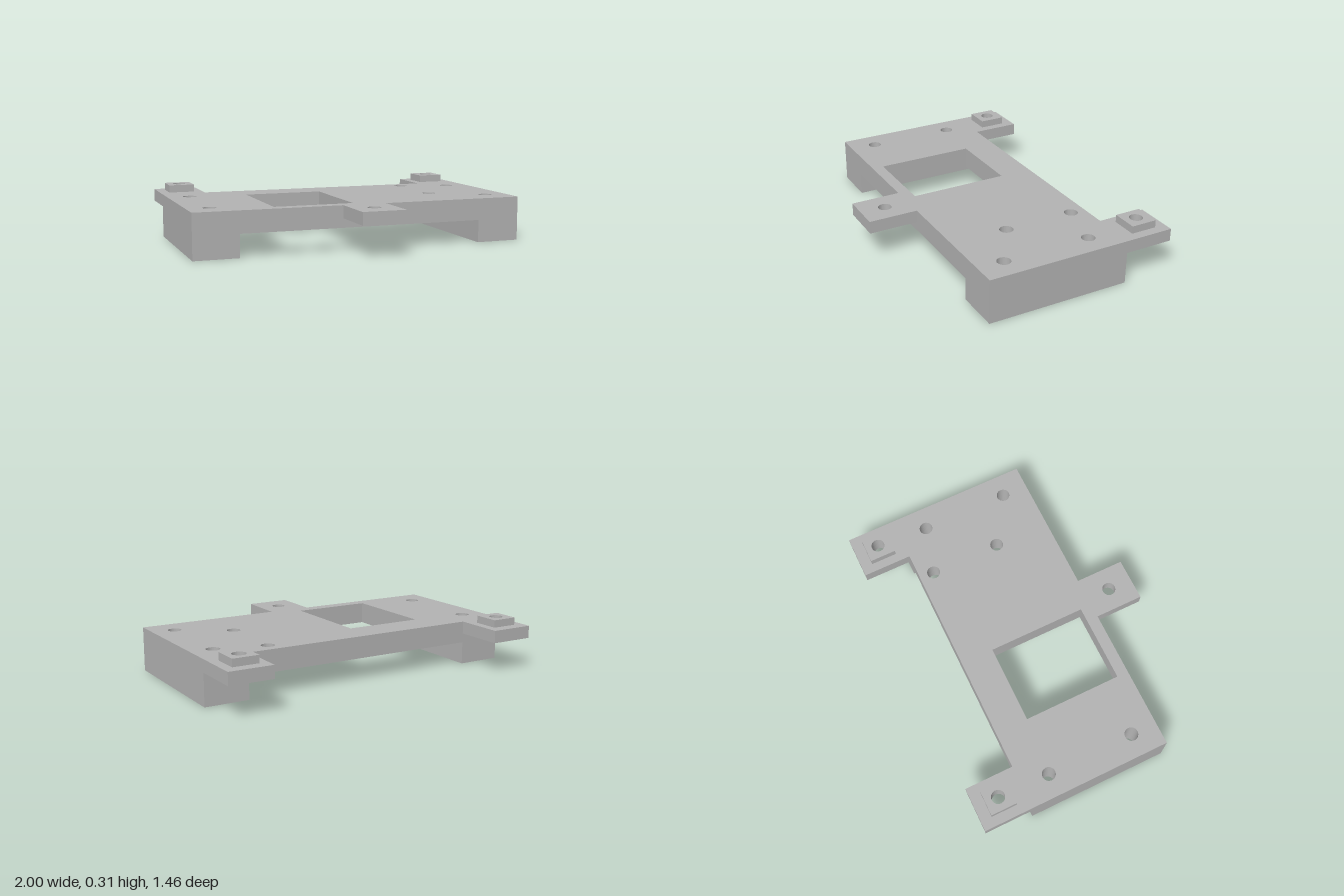
import * as THREE from 'three';

const HOLE_R = 0.04;

// Rectangle outline in plan (x, z); shape y is -z so the extrusion rises along +y
function trace(path, [x0, x1, z0, z1]) {
  path.moveTo(x0, -z1);
  path.lineTo(x1, -z1);
  path.lineTo(x1, -z0);
  path.lineTo(x0, -z0);
  path.closePath();
  return path;
}

// Flat slab with round holes [x, z] and rectangular cut-outs
function slab(name, rect, y0, y1, material, holes = [], cutouts = []) {
  const shape = trace(new THREE.Shape(), rect);
  for (const [x, z] of holes) {
    shape.holes.push(new THREE.Path().absarc(x, -z, HOLE_R, 0, Math.PI * 2, true));
  }
  for (const c of cutouts) shape.holes.push(trace(new THREE.Path(), c));
  const geometry = new THREE.ExtrudeGeometry(shape, { depth: y1 - y0, bevelEnabled: false, curveSegments: 16 });
  geometry.rotateX(-Math.PI / 2);
  geometry.translate(0, y0, 0);
  const mesh = new THREE.Mesh(geometry, material);
  mesh.name = name;
  return mesh;
}

export function createModel() {
  const model = new THREE.Group();
  model.name = 'mountingBracket';
  const grey = new THREE.MeshStandardMaterial({ color: 0xb3b3b3 });
  grey.name = 'grey';

  const top = 0.265, plateBottom = 0.135, tabBottom = 0.19;
  const back = -0.435, front = 0.43, inner = 0.735, holeX = 0.865;
  const legHoles = (s) => [[s * holeX, -0.265], [s * holeX, 0.27]];

  // Main plate with the rectangular window
  model.add(slab('plate', [-1, 1, back, front], plateBottom, top, grey,
    [...legHoles(1), ...legHoles(-1), [0.57, -0.345], [0.57, 0.085]],
    [[-0.52, -0.045, -0.235, 0.36]]));

  // Front tab
  model.add(slab('frontTab', [-0.13, 0.13, front, 0.725], tabBottom, top, grey, [[0, 0.575]]));

  for (const s of [1, -1]) {
    const side = s > 0 ? 'left' : 'right';
    const span = (a, b) => (s > 0 ? [a, b] : [-b, -a]);
    const legRect = [...span(inner, 1), back, front];

    // Side leg; the right one has a shallow pocket underneath
    const pocketTop = s < 0 ? 0.045 : 0;
    model.add(slab(side + 'Leg', legRect, pocketTop, plateBottom, grey, legHoles(s)));
    if (s < 0) {
      model.add(slab(side + 'LegFoot', legRect, 0, pocketTop, grey, legHoles(s),
        [[-0.925, -0.805, -0.2, -0.065]]));
    }

    // Rear tab and its raised square pad
    const tabHole = [[s * holeX, -0.585]];
    model.add(slab(side + 'RearTab', [...span(inner, 1), -0.73, back], tabBottom, top, grey, tabHole));
    model.add(slab(side + 'Pad', [...span(0.787, 0.943), -0.663, -0.505], top, 0.31, grey, tabHole));
  }
  return model;
}
